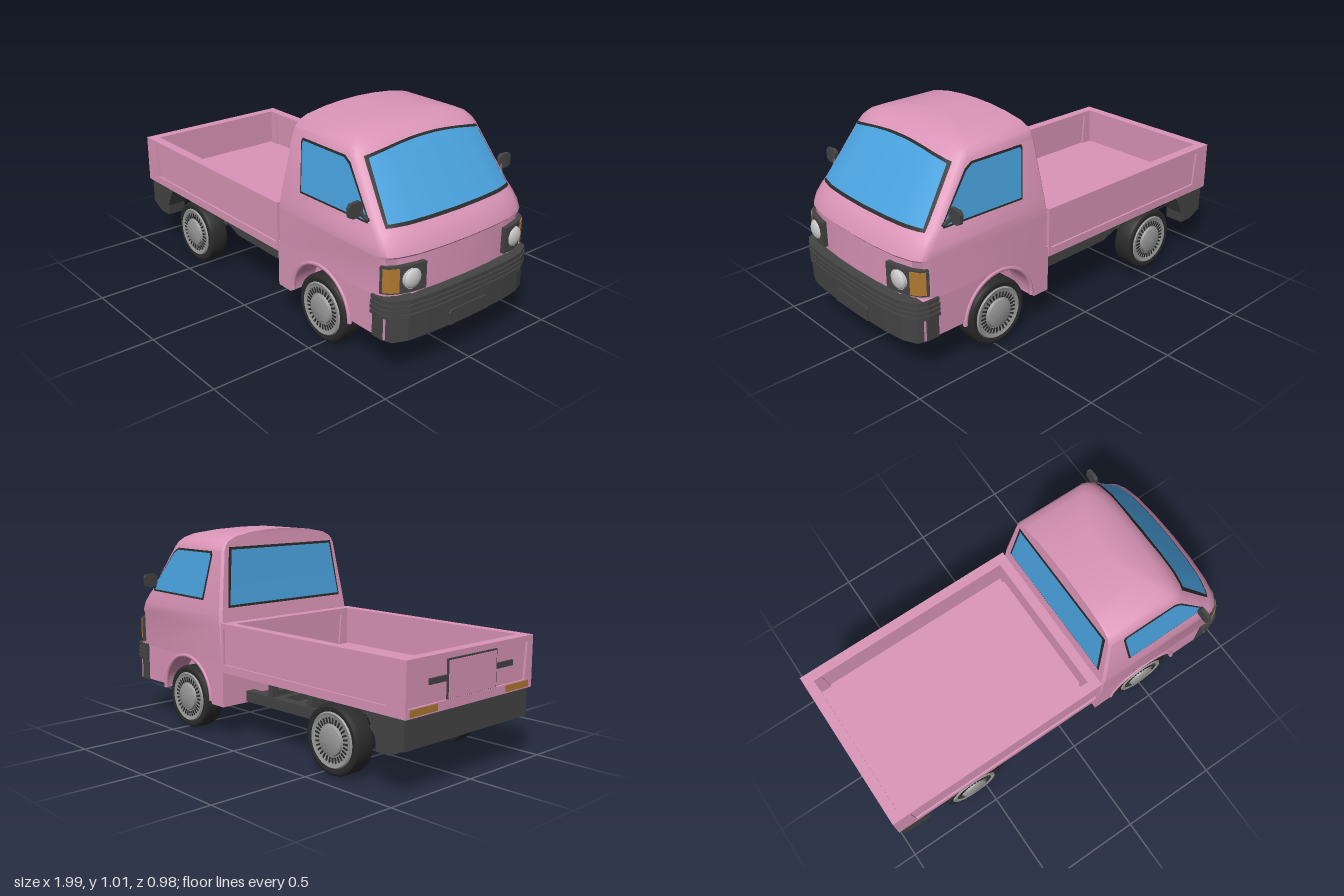
import * as THREE from 'three';
import { toCreasedNormals } from 'three/addons/utils/BufferGeometryUtils.js';

const mat = (color, side = THREE.FrontSide) => new THREE.MeshStandardMaterial({ color, side });
const pink = mat(0xdb95b8), dark = mat(0x444444), tyreMat = mat(0x2b2b2b), rimMat = mat(0x999999);
const lampMat = mat(0xcccccc), amber = mat(0xb0782f);
const glass = mat(0x4aa3df, THREE.DoubleSide), seal = mat(0x2b2b2b, THREE.DoubleSide);

// Cab levels: height, rear x, front x, half width
const LEVELS = [
  [0.38, 0.18, 0.943, 0.42], [0.556, 0.183, 0.943, 0.423], [0.566, 0.184, 0.952, 0.423],
  [0.61, 0.19, 0.935, 0.42], [0.65, 0.195, 0.905, 0.414], [0.68, 0.199, 0.875, 0.41],
  [0.92, 0.226, 0.7, 0.372], [0.945, 0.229, 0.68, 0.362], [0.965, 0.231, 0.655, 0.345],
  [0.985, 0.233, 0.62, 0.3], [1.003, 0.235, 0.55, 0.2], [1.012, 0.235, 0.49, 0.1], [1.015, 0.235, 0.46, 0],
];
// Front rounding in plan: share of half width, setback
const ROUND = [[0, 0], [0.35, 0.004], [0.65, 0.015], [0.86, 0.037], [0.96, 0.062], [1, 0.095]];

function lookup(table, k, col) {
  let i = 1;
  while (i < table.length - 1 && table[i][0] < k) i++;
  const a = table[i - 1], b = table[i];
  return THREE.MathUtils.lerp(a[col], b[col], THREE.MathUtils.clamp((k - a[0]) / (b[0] - a[0]), 0, 1));
}
const rearX = (y) => lookup(LEVELS, y, 1);
const halfWidth = (y) => lookup(LEVELS, y, 3);
const frontX = (y, z) =>
  lookup(LEVELS, y, 2) - lookup(ROUND, Math.abs(z) / halfWidth(y), 1) * halfWidth(y) / 0.42;

function buildGeo(pos, idx) {
  const g = new THREE.BufferGeometry();
  g.setAttribute('position', new THREE.Float32BufferAttribute(pos, 3));
  g.setIndex(idx);
  return toCreasedNormals(g, 0.7);
}

// Cab shell lofted through the levels
function cabGeometry() {
  const pos = [], idx = [];
  let n = 0;
  for (const [y, xr, xf, w] of LEVELS) {
    const half = [[xr, 0], [xr, w * 0.5], [xr, w * 0.97], [xr + 0.012, w]];
    for (const [t, d] of [...ROUND].reverse()) half.push([xf - d * w / 0.42, w * t]);
    const ring = [...half, ...half.slice(1, -1).reverse().map(([x, z]) => [x, -z])];
    n = ring.length;
    for (const [x, z] of ring) pos.push(x, y, z);
  }
  for (let j = 0; j < LEVELS.length - 1; j++) for (let i = 0; i < n; i++) {
    const a = j * n + i, b = j * n + (i + 1) % n;
    idx.push(a, b, b + n, a, b + n, a + n);
  }
  return buildGeo(pos, idx);
}

// Sheet sampled from a point function of u (-1..1) and v (0..1)
function sheet(fn, nu = 24, nv = 6) {
  const pos = [], idx = [];
  for (let j = 0; j <= nv; j++) for (let i = 0; i <= nu; i++) pos.push(...fn(i / nu * 2 - 1, j / nv));
  for (let j = 0; j < nv; j++) for (let i = 0; i < nu; i++) {
    const a = j * (nu + 1) + i, b = a + nu + 1;
    idx.push(a, b, b + 1, a, b + 1, a + 1);
  }
  return buildGeo(pos, idx);
}

const shape = (pts) => new THREE.Shape(pts.map((p) => new THREE.Vector2(...p)));
const extrude = (s, depth) => new THREE.ExtrudeGeometry(s, { depth, bevelEnabled: false, curveSegments: 24 });
// Plan outline of [x, z] points raised from y0 to y1
const plan = (pts, y0, y1) =>
  extrude(shape(pts.map(([x, z]) => [x, -z])), y1 - y0).rotateX(-Math.PI / 2).translate(0, y0, 0);
const mirrored = (half) => [...half, ...[...half].reverse().map(([x, z]) => [x, -z])];

export function createModel() {
  const root = new THREE.Group();
  const add = (name, geo, material, parent = root) => {
    const m = new THREE.Mesh(geo, material);
    m.name = name;
    parent.add(m);
    return m;
  };
  const box = (name, material, x0, x1, y0, y1, z0, z1, parent) =>
    add(name, new THREE.BoxGeometry(x1 - x0, y1 - y0, z1 - z0)
      .translate((x0 + x1) / 2, (y0 + y1) / 2, (z0 + z1) / 2), material, parent);

  // Cab and its floor
  add('cabShell', cabGeometry(), pink);
  box('cabFloor', pink, 0.27, 0.93, 0.2, 0.39, -0.3, 0.3);
  box('cabRearSill', pink, 0.18, 0.27, 0.165, 0.39, -0.3, 0.3);

  // Windscreen and rear window, each with a dark seal behind
  for (const [part, m, grow, off] of [['Seal', seal, 0.012, 0.004], ['Glass', glass, 0, 0.008]]) {
    add('windscreen' + part, sheet((u, v) => {
      const y = THREE.MathUtils.lerp(0.68 - grow, 0.945 - 0.035 * u * u + grow * 0.7, v);
      const z = u * (THREE.MathUtils.lerp(0.362, 0.325, v) + grow);
      return [frontX(y, z) + off, y + off * 0.5, z];
    }), m);
    add('rearWindow' + part, sheet((u, v) => {
      const y = THREE.MathUtils.lerp(0.66 - grow, 0.925 + grow, v);
      return [rearX(y) - off, y, u * (THREE.MathUtils.lerp(0.36, 0.325, v) + grow)];
    }, 4, 4), m);
  }

  const sideWindow = [[0.345, 0.685], [0.765, 0.69], [0.77, 0.705], [0.625, 0.885], [0.59, 0.905], [0.32, 0.905], [0.313, 0.89]];
  for (const s of [1, -1]) {
    const side = s > 0 ? 'left' : 'right';
    // Side window
    for (const [part, m, k, off] of [['Seal', seal, 1.045, 0.002], ['Glass', glass, 1, 0.005]]) {
      const g = new THREE.ShapeGeometry(shape(sideWindow.map(([x, y]) => [0.53 + (x - 0.53) * k, 0.797 + (y - 0.797) * (k * 2 - 1)])));
      const p = g.attributes.position;
      for (let i = 0; i < p.count; i++) p.setZ(i, s * (halfWidth(p.getY(i)) + off));
      g.computeVertexNormals();
      add(side + 'Window' + part, g, m);
    }

    // Lower cab side with wheel arch and its lip
    const lower = shape([[0.18, 0.165], [0.27, 0.165], [0.29, 0.2]]);
    lower.absarc(0.48, 0.18, 0.19, Math.PI, 0, true);
    for (const [x, y] of [[0.69, 0.2], [0.9, 0.2], [0.9, 0.39], [0.18, 0.39]]) lower.lineTo(x, y);
    add(side + 'LowerCabSide', extrude(lower, 0.12).translate(0, 0, s > 0 ? 0.3 : -0.42), pink);
    add(side + 'ArchLip', new THREE.TorusGeometry(0.198, 0.011, 8, 32, Math.PI).translate(0.48, 0.18, s * 0.416), pink);

    // Headlight unit
    const lamp = (pts) => pts.map(([x, z]) => [x, s * z]);
    add(side + 'LampBezel', plan(lamp([[0.88, 0.242], [0.953, 0.242], [0.945, 0.31], [0.93, 0.36], [0.903, 0.41], [0.87, 0.428], [0.86, 0.4]]), 0.408, 0.53), dark);
    add(side + 'TurnSignal', plan(lamp([[0.9, 0.372], [0.93, 0.372], [0.911, 0.405], [0.885, 0.426], [0.87, 0.4]]), 0.416, 0.522), amber);
    add(side + 'Headlight', new THREE.SphereGeometry(0.046, 28, 12, 0, Math.PI * 2, 0, Math.PI / 2)
      .scale(1, 0.45, 1).rotateZ(-Math.PI / 2).translate(0.94, 0.47, s * 0.31), lampMat);
    add(side + 'HeadlightBase', new THREE.CylinderGeometry(0.048, 0.048, 0.04, 28).rotateZ(Math.PI / 2).translate(0.924, 0.47, s * 0.31), lampMat);

    // Door mirror
    const head = shape([[0.415, 0.725], [0.425, 0.71], [0.465, 0.705], [0.486, 0.715], [0.49, 0.755], [0.48, 0.772], [0.43, 0.775], [0.416, 0.762]].map(([z, y]) => [-s * z, y]));
    add(side + 'MirrorHead', extrude(head, 0.018).rotateY(Math.PI / 2).translate(0.734, 0, 0), dark);
    const arm = new THREE.CatmullRomCurve3([[0.775, 0.69, 0.4], [0.76, 0.705, 0.415], [0.745, 0.73, 0.43]].map(([x, y, z]) => new THREE.Vector3(x, y, s * z)));
    add(side + 'MirrorArm', new THREE.TubeGeometry(arm, 8, 0.009, 6), dark);
  }

  // Front bumper: plain lower part and ribbed upper band
  const bumper = (grow) => mirrored([[0.825, 0.422 + grow], [0.885, 0.422 + grow], [0.93, 0.405 + grow], [0.958 + grow, 0.34], [0.972 + grow, 0.23], [0.976 + grow, 0.1]]);
  add('lowerBumper', plan(bumper(0), 0.195, 0.3), dark);
  for (let i = 0; i < 4; i++) {
    const y = 0.3 + i * 0.0225;
    add('bumperGroove', plan(bumper(0.006), y, y + 0.006), dark);
    add('bumperRib', plan(bumper(i === 3 ? 0.01 : 0.014), y + 0.006, y + 0.0225), dark);
  }
  add('bumperPlateRest', extrude(shape([[-0.12, 0.197], [0.12, 0.197], [0.12, 0.255], [0.108, 0.267], [-0.108, 0.267], [-0.12, 0.255]]), 0.02)
    .rotateY(Math.PI / 2).translate(0.963, 0, 0), dark);

  // Load bed: floor and four walls with recessed panels
  const wall = (name, len, x, z, turn) => {
    const g = new THREE.Group(), h = len / 2;
    g.name = name;
    const frame = shape([[-h, 0.34], [h, 0.34], [h, 0.58], [-h, 0.58]]);
    frame.holes.push(shape([[-h + 0.04, 0.555], [h - 0.015, 0.555], [h - 0.015, 0.38], [-h + 0.055, 0.38]]));
    add(name + 'Frame', extrude(frame, 0.05).translate(0, 0, -0.025), pink, g);
    box(name + 'Panel', pink, -h + 0.01, h - 0.01, 0.345, 0.575, -0.015, 0.015, g);
    g.position.set(x, 0, z);
    g.rotation.y = turn;
    root.add(g);
  };
  box('bedFloor', pink, -0.96, 0.17, 0.342, 0.39, -0.39, 0.39);
  wall('leftBedWall', 1.13, -0.385, 0.4, 0);
  wall('rightBedWall', 1.13, -0.385, -0.4, 0);
  wall('tailgate', 0.85, -0.975, 0, Math.PI / 2);
  wall('bedFrontWall', 0.75, 0.155, 0, Math.PI / 2);

  // Tailgate fittings
  box('plateSurround', dark, -0.997, -0.98, 0.375, 0.55, -0.165, 0.165);
  box('platePanel', pink, -1, -0.98, 0.382, 0.543, -0.158, 0.158);
  for (const s of [1, -1]) {
    const span = (a, b) => (s > 0 ? [a, b] : [-b, -a]);
    box('tailgateLatch', dark, -1, -0.98, 0.46, 0.485, ...span(0.165, 0.28));
    box('tailLight', amber, -1.001, -0.98, 0.346, 0.376, ...span(0.23, 0.4));
    // Rear bumper ends and mud guards
    const guard = shape([[-0.985, 0.34], [-0.985, 0.21], [-0.91, 0.175], [-0.835, 0.175], [-0.83, 0.23], [-0.79, 0.31], [-0.76, 0.34]]);
    add('mudGuard', extrude(guard, 0.1).translate(0, 0, s > 0 ? 0.315 : -0.415), dark);
    // Chassis rail with kick-up over the rear axle
    const rail = shape([[0.2, 0.17], [0.2, 0.225], [-0.33, 0.225], [-0.46, 0.28], [-0.6, 0.318], [-0.95, 0.325], [-0.95, 0.28], [-0.62, 0.265], [-0.5, 0.225], [-0.37, 0.175]]);
    add('chassisRail', extrude(rail, 0.05).translate(0, 0, s * 0.25 - 0.025), dark);
    for (const x of [-0.28, 0]) box('bedSupport', dark, x - 0.015, x + 0.015, 0.2, 0.345, s * 0.25 - 0.02, s * 0.25 + 0.02);
  }
  box('rearBumper', dark, -0.985, -0.955, 0.205, 0.341, -0.415, 0.415);

  // Cross members
  for (const x of [-0.28, -0.14, 0, 0.13]) box('crossMember', dark, x - 0.02, x + 0.02, 0.18, 0.215, -0.25, 0.25);
  for (const x of [-0.85, -0.68, -0.5]) box('rearCrossMember', dark, x - 0.02, x + 0.02, 0.275, 0.315, -0.25, 0.25);

  // Wheels and axles
  const lathe = (pts) => toCreasedNormals(new THREE.LatheGeometry(pts.map((p) => new THREE.Vector2(...p)), 40), 0.6).rotateX(Math.PI / 2);
  const tyre = lathe([[0, -0.05], [0.145, -0.05], [0.157, -0.043], [0.16, -0.03], [0.16, 0.035], [0.156, 0.047], [0.145, 0.053], [0.124, 0.05], [0.118, 0.035], [0, 0.035]]);
  const rim = lathe([[0.118, 0.03], [0.126, 0.05], [0.12, 0.057], [0.107, 0.052], [0.07, 0.05], [0.066, 0.062], [0.05, 0.068], [0, 0.07]]);
  for (const [x, end] of [[0.483, 'front'], [-0.57, 'rear']]) {
    add(end + 'Axle', new THREE.CylinderGeometry(0.02, 0.02, 0.7, 12).rotateX(Math.PI / 2).translate(x, 0.163, 0), dark);
    for (const s of [1, -1]) {
      const wheel = new THREE.Group();
      wheel.name = end + (s > 0 ? 'Left' : 'Right') + 'Wheel';
      add('tyre', tyre, tyreMat, wheel);
      add('rim', rim, rimMat, wheel);
      for (let i = 0; i < 30; i++) {
        const slot = add('rimSlot', new THREE.BoxGeometry(0.026, 0.008, 0.006).translate(0.088, 0, 0.051), tyreMat, wheel);
        slot.rotation.z = i / 30 * Math.PI * 2;
      }
      wheel.position.set(x, 0.163, s * 0.36);
      wheel.rotation.y = s > 0 ? 0 : Math.PI;
      root.add(wheel);
    }
  }
  return root;
}
